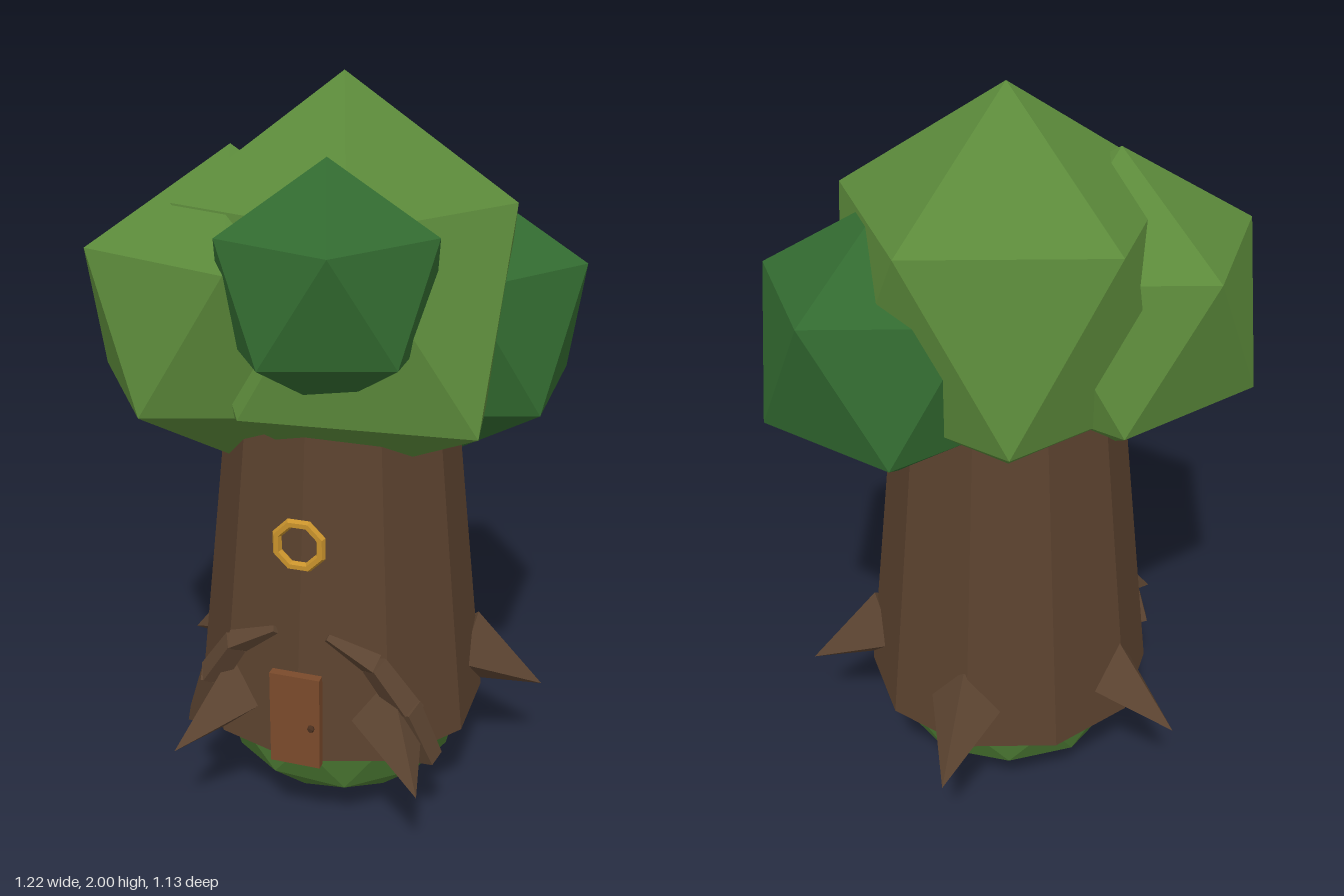
import * as THREE from 'three';

export function createModel() {
  const model = new THREE.Group();
  model.name = 'treeHouse';

  const mat = (name, color) => {
    const m = new THREE.MeshStandardMaterial({ color, flatShading: true });
    m.name = name;
    return m;
  };
  const lightLeaf = mat('light leaf green', 0x5b893a);
  const darkLeaf = mat('dark leaf green', 0x326a30);
  const grass = mat('grass green', 0x4c7a33);
  const bark = mat('bark brown', 0x5a412e);
  const root = mat('root brown', 0x5c4431);
  const doorWood = mat('door wood', 0x7a4a2b);
  const knobBrown = mat('knob brown', 0x4a2f1e);
  const gold = mat('gold', 0xc8922c);

  function add(name, geometry, material, x = 0, y = 0, z = 0) {
    const mesh = new THREE.Mesh(geometry, material);
    mesh.name = name;
    mesh.position.set(x, y, z);
    model.add(mesh);
    return mesh;
  }

  // Icosphere standing on one of its points
  function pointedBall(r, ry = r, detail = 0) {
    const g = new THREE.IcosahedronGeometry(1, detail);
    g.rotateZ(-Math.atan(2 / (1 + Math.sqrt(5))));
    g.scale(r, ry, r);
    return g;
  }

  // Four-sided tapered bar from a to b, with one ridge facing up
  function bar(name, a, b, ra, rb, material) {
    const from = new THREE.Vector3(...a), to = new THREE.Vector3(...b);
    const len = from.distanceTo(to);
    const g = new THREE.CylinderGeometry(rb, ra, len, 4);
    g.translate(0, len / 2, 0);
    g.rotateX(Math.PI / 2);
    const mesh = add(name, g, material, ...a);
    mesh.lookAt(to);
    return mesh;
  }

  // Grassy mound under the trunk
  add('grassMound', pointedBall(0.36, 0.3, 1), grass, 0.01, 0.3, 0);

  // Ten-sided tapering trunk
  add('trunk', new THREE.CylinderGeometry(0.29, 0.4, 1.02, 10), bark, 0.005, 0.79, 0);

  // Main crown, with its low front corner pulled outwards
  const crown = pointedBall(0.49, 0.53);
  const p = crown.attributes.position;
  for (let i = 0; i < p.count; i++) {
    if (p.getX(i) > 0.3 && p.getY(i) < 0 && p.getZ(i) > 0.2) {
      p.setXYZ(i, 0.43, -0.255, 0.32);
    }
  }
  add('mainCrown', crown, lightLeaf, 0.01, 1.47, 0);

  // Smaller leaf clumps
  add('rightClump', pointedBall(0.415), lightLeaf, -0.245, 1.415, 0.115);
  add('leftClump', pointedBall(0.385), darkLeaf, 0.26, 1.36, -0.15);
  add('frontClump', pointedBall(0.3), darkLeaf, 0.065, 1.55, 0.305);

  // Five spiky roots around the base
  for (let i = 0; i < 5; i++) {
    const a = -Math.PI / 2 + (i * 2 * Math.PI) / 5;
    const at = (r, y) => [0.015 + r * Math.cos(a), y, r * Math.sin(a)];
    bar('root', at(0.32, 0.415), at(0.565, 0.28), 0.115, 0, root);
  }

  // Bent roots arching over the door on both sides
  const arch = [
    [0.07, 0.635, 0.345, 0.012],
    [0.19, 0.565, 0.325, 0.036],
    [0.27, 0.44, 0.305, 0.042],
    [0.33, 0.28, 0.275, 0.036],
  ];
  for (const s of [-1, 1]) {
    for (let i = 0; i < arch.length - 1; i++) {
      const [ax, ay, az, ra] = arch[i], [bx, by, bz, rb] = arch[i + 1];
      bar('archRoot', [0.005 + s * ax, ay, az], [0.005 + s * bx, by, bz], ra, rb, root);
    }
  }

  // Door with knob
  add('door', new THREE.BoxGeometry(0.135, 0.265, 0.025), doorWood, 0.008, 0.413, 0.4);
  add('doorKnob', new THREE.IcosahedronGeometry(0.011, 0), knobBrown, 0.053, 0.4, 0.415);

  // Round window frame
  add('windowRing', new THREE.TorusGeometry(0.062, 0.013, 6, 8), gold, 0.01, 0.9, 0.368)
    .rotation.z = Math.PI / 8;

  return model;
}
